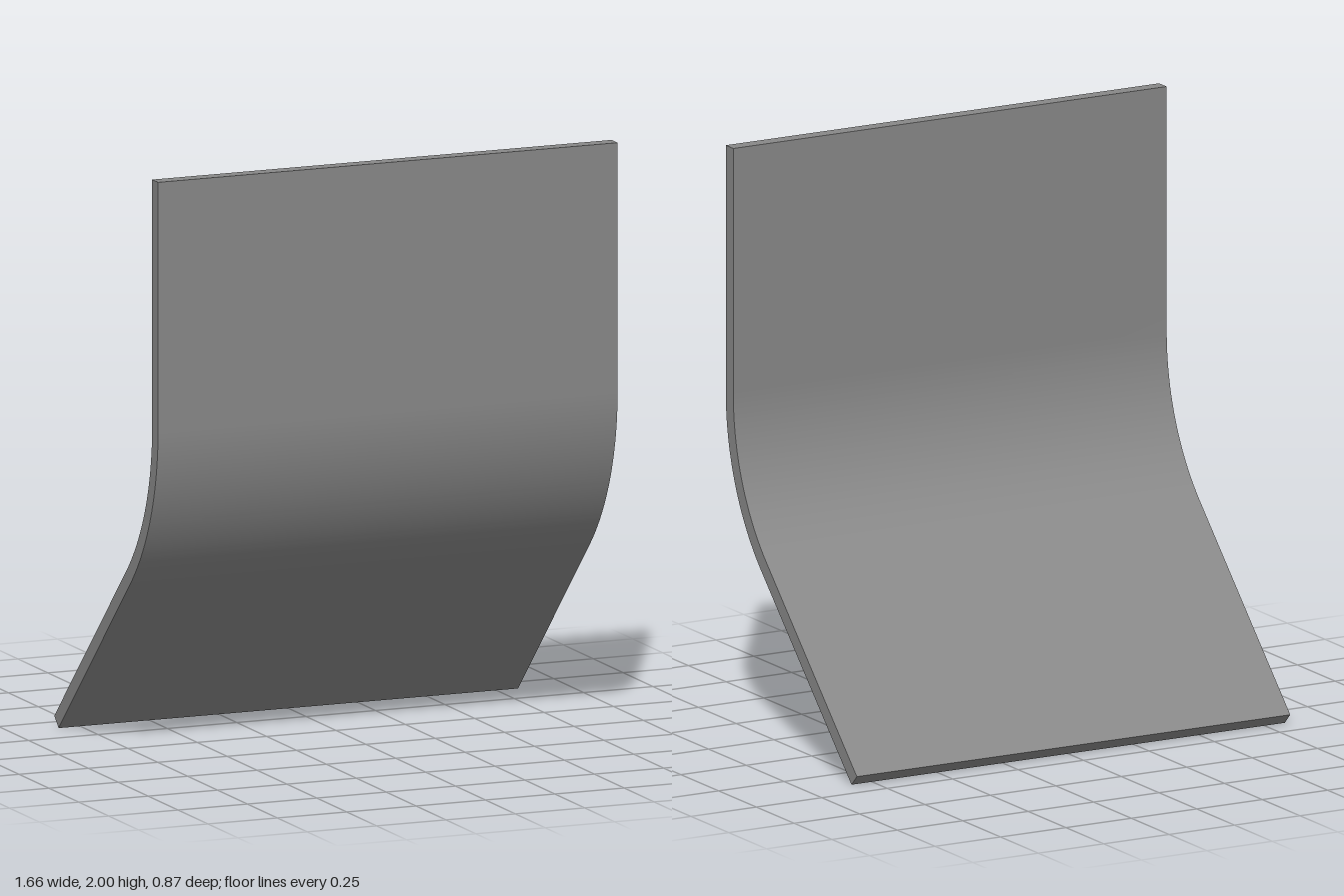
import * as THREE from 'three';
import { toCreasedNormals } from 'three/addons/utils/BufferGeometryUtils.js';

export function createModel() {
  const width = 1.656, height = 2, thickness = 0.05;
  const front = 0.434, radius = 0.8, bend = Math.PI / 4;
  const offset = thickness * Math.SQRT1_2;   // thickness seen along the 45 degree slope
  const toe = -front + offset;               // lowest edge
  const arcZ = front - radius;
  const arcY = arcZ - toe + radius * Math.SQRT2; // bend centre, tangent to the slope

  // Side profile: upright, rounded bend, slope down to the back
  const profile = new THREE.Shape();
  profile.moveTo(front, height);
  profile.lineTo(front, arcY);
  profile.absarc(arcZ, arcY, radius, 0, -bend, true);
  profile.lineTo(toe, 0);
  profile.lineTo(-front, offset);
  profile.absarc(arcZ, arcY, radius - thickness, -bend, 0, false);
  profile.lineTo(front - thickness, height);
  profile.closePath();

  // Sweep the profile across the width
  const geometry = new THREE.ExtrudeGeometry(profile, {
    depth: width, bevelEnabled: false, curveSegments: 32,
  });
  geometry.translate(0, 0, -width / 2);
  geometry.rotateY(-Math.PI / 2);

  const panel = new THREE.Mesh(
    toCreasedNormals(geometry, Math.PI / 6),
    new THREE.MeshStandardMaterial({ color: 0x888888 }),
  );
  panel.name = 'bentPanel';

  const group = new THREE.Group();
  group.name = 'bentPlate';
  group.add(panel);
  return group;
}
